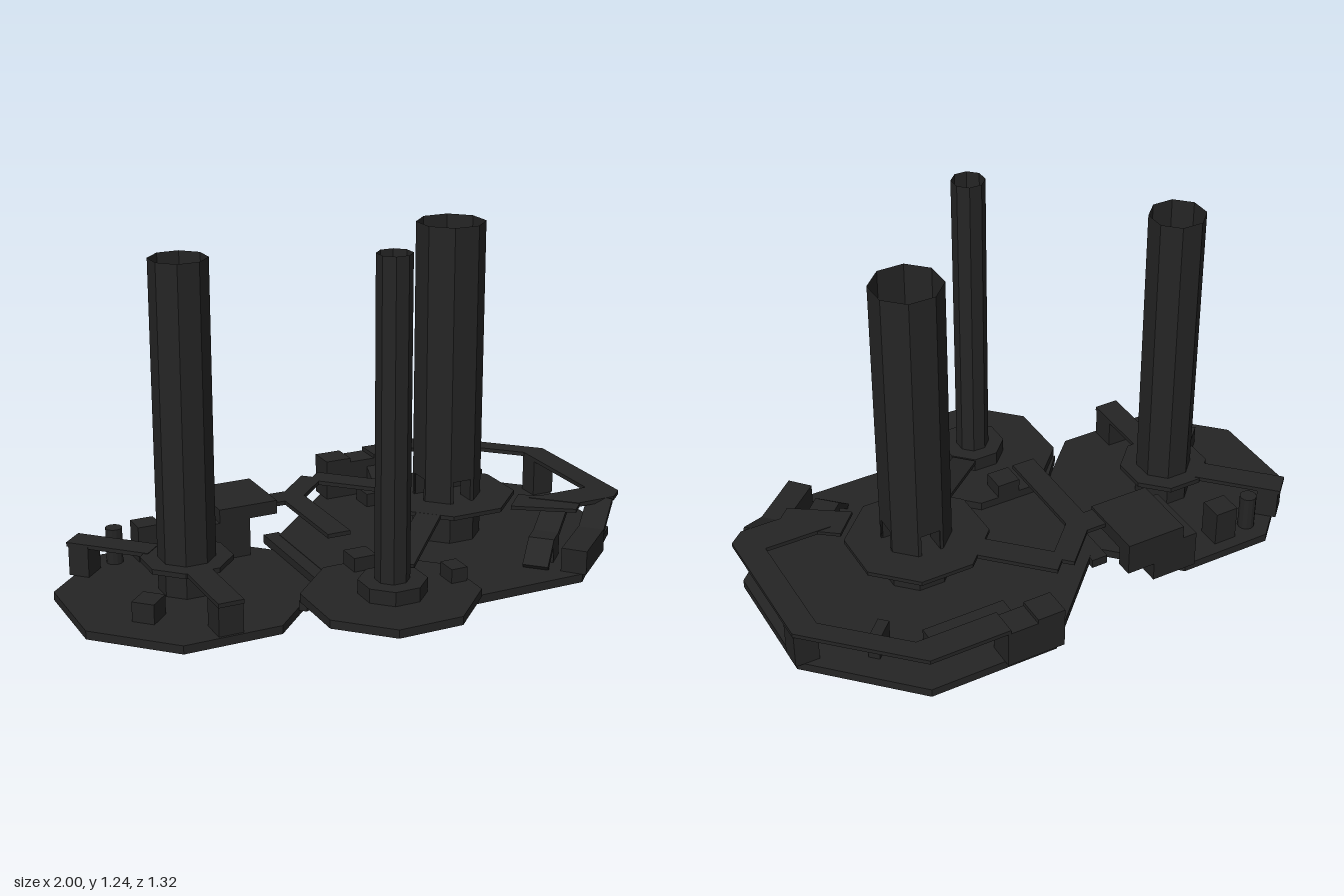
import * as THREE from 'three';

export function createModel() {
  const model = new THREE.Group();
  const charcoal = new THREE.MeshStandardMaterial({ color: 0x242424, flatShading: true, side: THREE.DoubleSide });
  charcoal.name = 'charcoal';

  function add(name, geometry) {
    const mesh = new THREE.Mesh(geometry, charcoal);
    mesh.name = name;
    model.add(mesh);
    return mesh;
  }

  // Box from its limits, optionally turned about its own vertical axis
  function block(name, x0, x1, y0, y1, z0, z1, turn = 0) {
    const mesh = add(name, new THREE.BoxGeometry(x1 - x0, y1 - y0, z1 - z0));
    mesh.position.set((x0 + x1) / 2, (y0 + y1) / 2, (z0 + z1) / 2);
    mesh.rotation.y = turn;
  }

  // Thin deck or ramp whose top centre line runs between two points
  function deck(name, from, to, width = 0.09, thick = 0.015) {
    const a = new THREE.Vector3(...from), b = new THREE.Vector3(...to);
    const mesh = add(name, new THREE.BoxGeometry(width, thick, a.distanceTo(b)));
    mesh.position.copy(a).add(b).multiplyScalar(0.5);
    mesh.lookAt(b);
    mesh.translateY(-thick / 2);
  }

  // Flat slab with an outline given as x, z corners
  function plate(name, corners, y0, y1) {
    const outline = new THREE.Shape(corners.map(([x, z]) => new THREE.Vector2(x, -z)));
    const geometry = new THREE.ExtrudeGeometry(outline, { depth: y1 - y0, bevelEnabled: false });
    add(name, geometry.rotateX(-Math.PI / 2).translate(0, y0, 0));
  }

  // Octagonal slab with flat sides on the axes
  function octagon(name, x, z, apothem, y0, y1) {
    const r = apothem / Math.cos(Math.PI / 8);
    const mesh = add(name, new THREE.CylinderGeometry(r, r, y1 - y0, 8, 1, false, Math.PI / 8));
    mesh.position.set(x, (y0 + y1) / 2, z);
  }

  // Hollow eight-sided tower, optionally with four doorways { y, width, height }
  function tower(name, x, z, apothem, y0, y1, door) {
    const half = apothem * Math.tan(Math.PI / 8);
    const rectangle = (w, low, high) =>
      [[-w, low], [w, low], [w, high], [-w, high]].map(p => new THREE.Vector2(...p));
    const group = new THREE.Group();
    group.name = name;
    group.position.set(x, 0, z);
    for (let i = 0; i < 8; i++) {
      const wall = new THREE.Shape(rectangle(half, y0, y1));
      if (door && i % 2 === 0) {
        wall.holes.push(new THREE.Path(rectangle(door.width / 2, door.y, door.y + door.height).reverse()));
      }
      const panel = new THREE.Mesh(new THREE.ShapeGeometry(wall).translate(0, 0, apothem), charcoal);
      panel.name = 'towerWall';
      panel.rotation.y = i * Math.PI / 4;
      group.add(panel);
    }
    model.add(group);
  }

  const Q = Math.PI / 4;

  // Three stepped platforms and the floor joining them
  octagon('leftPlatform', -0.583, -0.072, 0.416, 0, 0.03);
  octagon('mainPlatform', 0.427, -0.08, 0.557, 0.03, 0.06);
  octagon('frontPlatform', -0.03, 0.375, 0.28, 0.06, 0.09);
  plate('joiningFloor', [[-0.18, -0.34], [-0.12, -0.34], [-0.12, 0.2], [-0.29, 0.27], [-0.31, 0.25], [-0.18, 0.1]], 0.025, 0.058);

  // Ring decks and towers
  octagon('leftRing', -0.577, -0.078, 0.147, 0.13, 0.148);
  octagon('mainRing', 0.43, -0.083, 0.23, 0.195, 0.21);
  octagon('frontRing', -0.03, 0.385, 0.108, 0.09, 0.14);
  tower('leftTower', -0.577, -0.078, 0.092, 0.03, 1.185);
  tower('mainTower', 0.43, -0.078, 0.113, 0.06, 1.21, { y: 0.21, width: 0.07, height: 0.08 });
  tower('frontTower', -0.03, 0.382, 0.055, 0.09, 1.24);

  // Walls of the crossing passages inside the main tower
  for (const s of [-1, 1]) {
    for (const t of [-1, 1]) {
      const x = 0.43 + s * 0.038, z = -0.078 + t * 0.038;
      deck('passageWall', [x, 0.29, z], [x + s * 0.07, 0.29, z], 0.004, 0.08);
      deck('passageWall', [x, 0.29, z], [x, 0.29, z + t * 0.07], 0.004, 0.08);
    }
  }

  // Left platform bridges, end posts and cover
  deck('leftFrontBridge', [-0.587, 0.148, 0.05], [-0.587, 0.148, 0.34]);
  block('leftFrontPost', -0.63, -0.543, 0.03, 0.135, 0.24, 0.335);
  deck('leftBackBridge', [-0.66, 0.15, -0.18], [-0.878, 0.15, -0.4]);
  block('leftBackPost', -0.892, -0.802, 0.03, 0.15, -0.405, -0.33, Q);
  block('coverCrate', -0.65, -0.565, 0.03, 0.16, -0.445, -0.36);
  const barrel = add('coverBarrel', new THREE.CylinderGeometry(0.03, 0.03, 0.13, 12));
  barrel.position.set(-0.725, 0.095, -0.405);
  block('turnedCrate', -0.825, -0.735, 0.03, 0.1, 0.055, 0.135, Q);

  // Roofed shelter on the left platform's back corner
  block('shelterBase', -0.44, -0.27, 0.03, 0.17, -0.5, -0.25);
  block('shelterRoof', -0.385, -0.165, 0.17, 0.22, -0.5, -0.25);
  block('shelterBackWall', -0.385, -0.165, 0.1, 0.17, -0.5, -0.44);
  deck('shelterBridge', [-0.18, 0.21, -0.3], [-0.09, 0.21, -0.3]);

  // Main platform west gallery and diagonal bridges
  deck('westGallery', [-0.088, 0.21, 0.1], [-0.088, 0.21, -0.345], 0.085);
  deck('northWestGallery', [-0.09, 0.21, -0.29], [0.06, 0.21, -0.44], 0.08);
  deck('northWestBridge', [0.28, 0.21, -0.235], [0.07, 0.21, -0.445]);
  deck('frontRamp', [0.27, 0.21, 0.08], [0.05, 0.145, 0.295], 0.088);
  block('galleryPost', -0.07, 0.015, 0.09, 0.14, 0.095, 0.18);
  block('rampCrate', 0.18, 0.24, 0.09, 0.14, 0.33, 0.41);

  // East and north-east galleries
  plate('eastGallery', [[0.91, -0.325], [0.67, -0.56], [0.67, -0.66], [1, -0.335], [1, 0.18],
    [0.95, 0.225], [0.8, 0.225], [0.67, 0.1], [0.91, 0.1]], 0.195, 0.21);
  plate('southEastBridge', [[0.57, 0.14], [0.655, 0.05], [0.72, 0.1], [0.83, 0.2], [0.76, 0.27]], 0.195, 0.208);
  block('eastPost', 0.91, 0.995, 0.06, 0.2, -0.33, -0.25);

  // South-east wall, falling ramp and stepped cover
  deck('southEastRamp', [0.9, 0.21, 0.21], [0.8, 0.145, 0.31], 0.09, 0.02);
  deck('southEastWall', [0.81, 0.145, 0.3], [0.635, 0.145, 0.455], 0.09, 0.085);
  deck('coverRampUp', [0.74, 0.19, 0.165], [0.64, 0.145, 0.265], 0.09, 0.02);
  deck('coverTop', [0.65, 0.145, 0.255], [0.59, 0.145, 0.315], 0.09, 0.085);
  deck('coverRampDown', [0.59, 0.145, 0.315], [0.53, 0.075, 0.375], 0.09, 0.02);

  // Back deck, its solid end, steps and low cover
  block('backDeck', 0.38, 0.67, 0.195, 0.21, -0.66, -0.56);
  block('backEnd', 0.18, 0.28, 0.06, 0.21, -0.66, -0.56);
  block('backStep', 0.28, 0.39, 0.06, 0.195, -0.66, -0.56);
  deck('backRamp', [0.425, 0.17, -0.565], [0.425, 0.11, -0.5], 0.15, 0.03);
  block('backCover', 0.28, 0.58, 0.06, 0.11, -0.51, -0.42);
  block('northEastCover', 0.67, 0.77, 0.06, 0.14, -0.4, -0.36, Q);

  return model;
}
